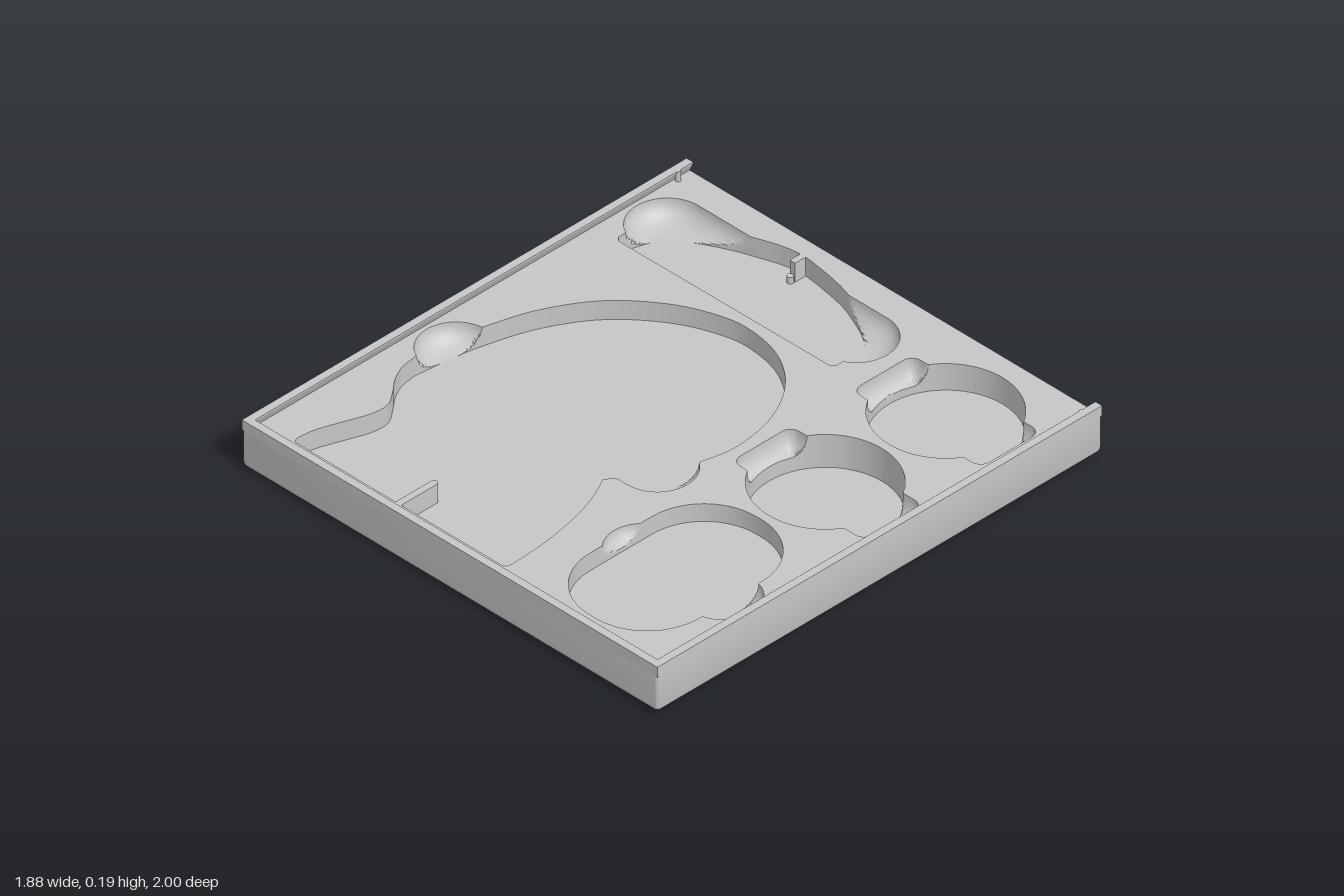
import * as THREE from 'three';
import { toCreasedNormals } from 'three/addons/utils/BufferGeometryUtils.js';

const TOP = 0.15, RIM = 0.19, HX = 0.94, HZ = 1;
const v2 = (x, z) => new THREE.Vector2(x, z);

// rounded rectangle on the ground plane, given by centre, half sizes and corner radius
function roundRect(cx, cz, hx, hz, r, n = 14) {
  const pts = [];
  [[1, 1], [-1, 1], [-1, -1], [1, -1]].forEach(([sx, sz], q) => {
    for (let i = 0; i <= n; i++) {
      const a = (q + i / n) * Math.PI / 2;
      pts.push(v2(cx + sx * (hx - r) + r * Math.cos(a), cz + sz * (hz - r) + r * Math.sin(a)));
    }
  });
  return pts;
}

const spline = (list, n = 60) => new THREE.SplineCurve(list.map(p => v2(...p))).getPoints(n);

// distance from c to the outline along angle a
function reach(poly, c, a) {
  const dx = Math.cos(a), dz = Math.sin(a);
  let best = 0;
  poly.forEach((p, i) => {
    const q = poly[(i + 1) % poly.length];
    const ex = q.x - p.x, ez = q.y - p.y, den = dx * ez - dz * ex;
    if (Math.abs(den) < 1e-12) return;
    const px = p.x - c.x, pz = p.y - c.y;
    const t = (px * ez - pz * ex) / den, u = (px * dz - pz * dx) / den;
    if (t > 0 && u >= -1e-6 && u <= 1 + 1e-6) best = Math.max(best, t);
  });
  return best;
}

// skin through closed rings of [x, y, z] points
function loft(rings, crease = 0.5) {
  const pos = [], n = rings[0].length;
  for (let k = 0; k + 1 < rings.length; k++) {
    const u = rings[k], l = rings[k + 1];
    for (let i = 0; i < n; i++) {
      const j = (i + 1) % n;
      pos.push(...u[i], ...l[i], ...u[j], ...u[j], ...l[i], ...l[j]);
    }
  }
  const g = new THREE.BufferGeometry();
  g.setAttribute('position', new THREE.Float32BufferAttribute(pos, 3));
  return toCreasedNormals(g, crease);
}

// pocket joined with a bowl-edged finger scoop; returns its walls, floor and top outline
function recess({ c, outline, scoop, fillet, floor, ledge }) {
  const centre = v2(...c), [sx, sz, hx, hz, r] = scoop;
  const inset = d => roundRect(sx, sz, hx - d, hz - d, Math.max(r - d, 0.004));
  const angles = [];
  for (let i = 0; i < 480; i++) angles.push(i / 480 * Math.PI * 2);
  for (const p of [...outline, ...inset(0)]) {
    const a = Math.atan2(p.y - centre.y, p.x - centre.x);
    angles.push(a < 0 ? a + Math.PI * 2 : a);
  }
  angles.sort((a, b) => a - b);
  const dirs = angles.filter((a, i) => i === 0 || a - angles[i - 1] > 1e-4);
  const base = dirs.map(a => reach(outline, centre, a));
  const ring = (y, radii) => dirs.map((a, i) =>
    [centre.x + Math.cos(a) * radii[i], y, centre.y + Math.sin(a) * radii[i]]);
  const rings = [];
  for (let k = 0; k <= 9; k++) {
    const a = k / 9 * Math.PI / 2, poly = inset(fillet * (1 - Math.cos(a)));
    const radii = dirs.map((d, i) => Math.max(base[i], reach(poly, centre, d)));
    rings.push(ring(TOP - (TOP - ledge) * Math.sin(a), radii));
  }
  const edge = rings[0].map(p => v2(p[0], -p[2]));
  const bottom = ring(floor, base);
  rings.push(ring(ledge, base), bottom);
  return { walls: loft(rings), base: loft([bottom, ring(floor, base.map(() => 0))]), edge };
}

export function createModel() {
  const group = new THREE.Group();
  const grey = new THREE.MeshStandardMaterial({ color: 0xc6c6c6 });
  grey.name = 'grey';
  const add = (name, geometry, x = 0, y = 0, z = 0) => {
    const m = new THREE.Mesh(geometry, grey);
    m.name = name;
    m.position.set(x, y, z);
    group.add(m);
    return m;
  };

  // outlines of the two freeform pockets
  const figure = [
    ...spline([[-0.83, 0.33], [-0.815, 0.2], [-0.79, 0.06], [-0.73, -0.13], [-0.62, -0.31], [-0.46, -0.445],
      [-0.3, -0.515], [-0.17, -0.53], [-0.02, -0.495], [0.11, -0.4], [0.2, -0.25], [0.235, -0.08],
      [0.22, 0.05], [0.16, 0.23], [0.06, 0.37]], 90),
    ...spline([[0.067, 0.385], [0.1, 0.45], [0.14, 0.57], [0.17, 0.74], [0.18, 0.9]], 24),
    v2(0.175, 0.918), v2(0.16, 0.925), v2(-0.77, 0.925), v2(-0.782, 0.918),
    ...spline([[-0.785, 0.905], [-0.775, 0.83], [-0.74, 0.73], [-0.71, 0.64], [-0.71, 0.57],
      [-0.75, 0.51], [-0.79, 0.46], [-0.82, 0.4], [-0.829, 0.34]], 40)];
  const dome = [
    ...spline([[-0.83, -0.64], [-0.79, -0.74], [-0.7, -0.81], [-0.59, -0.865], [-0.52, -0.89], [-0.43, -0.92],
      [-0.345, -0.932], [-0.24, -0.92], [-0.14, -0.9], [-0.07, -0.875], [0.04, -0.82], [0.11, -0.74], [0.15, -0.64]], 60),
    v2(0.15, -0.59), v2(0.135, -0.575), v2(-0.815, -0.57), v2(-0.83, -0.585)];

  // all recesses
  const recesses = {
    figurePocket: { c: [-0.3, 0.25], outline: figure, scoop: [-0.32, 0.2, 0.59, 0.135, 0.135], fillet: 0.1, floor: 0.075, ledge: 0.075 },
    domePocket: { c: [-0.34, -0.72], outline: dome, scoop: [-0.343, -0.745, 0.567, 0.14, 0.14], fillet: 0.1, floor: 0.075, ledge: 0.075 },
    backRoundPocket: { c: [0.57, -0.665], outline: roundRect(0.57, -0.665, 0.255, 0.255, 0.255), scoop: [0.572, -0.665, 0.291, 0.135, 0.04], fillet: 0.05, floor: 0.045, ledge: 0.075 },
    middleRoundPocket: { c: [0.57, -0.123], outline: roundRect(0.57, -0.123, 0.255, 0.255, 0.255), scoop: [0.58, -0.123, 0.3, 0.133, 0.04], fillet: 0.05, floor: 0.02, ledge: 0.075 },
    ovalPocket: { c: [0.56, 0.54], outline: roundRect(0.56, 0.54, 0.247, 0.375, 0.235), scoop: [0.593, 0.54, 0.312, 0.13, 0.13], fillet: 0.1, floor: 0.08, ledge: 0.08 },
  };
  const face = new THREE.Shape(roundRect(0, 0, HX, HZ, 0.012, 4).map(p => v2(p.x, -p.y)));
  for (const [name, spec] of Object.entries(recesses)) {
    const { walls, base, edge } = recess(spec);
    add(name + 'Walls', walls);
    add(name + 'Floor', base);
    face.holes.push(new THREE.Path(edge));
  }
  add('trayTop', new THREE.ShapeGeometry(face).rotateX(-Math.PI / 2), 0, TOP, 0);

  // outer shell with a rounded lower edge
  const level = (y, d) => roundRect(0, 0, HX - d, HZ - d, 0.012, 4).map(p => [p.x, y, p.y]);
  const shell = [];
  for (let k = 6; k >= 0; k--) {
    const a = k / 6 * Math.PI / 2;
    shell.push(level(0.03 * (1 - Math.sin(a)), 0.03 * (1 - Math.cos(a))));
  }
  shell.push(level(TOP, 0));
  add('trayShell', loft(shell));
  add('trayBottom', loft([shell[0].map(() => [0, 0, 0]), shell[0]]));

  // undercut lid rails on the sides and front, open at the back
  const rail = (length) => new THREE.ExtrudeGeometry(
    new THREE.Shape([v2(0, TOP), v2(0, RIM), v2(-0.03, RIM), v2(-0.03, RIM - 0.006), v2(-0.014, TOP)].reverse()),
    { depth: length, bevelEnabled: false }).translate(0, 0, -length / 2);
  add('leftRail', rail(2 * HZ), HX, 0, 0);
  add('rightRail', rail(2 * HZ), -HX, 0, 0).rotation.y = Math.PI;
  add('frontRail', rail(2 * HX), 0, 0, HZ).rotation.y = -Math.PI / 2;

  // lid catches near the open end
  for (const s of [-1, 1]) {
    add('lidCatch', new THREE.CylinderGeometry(0.01, 0.01, RIM - TOP, 16), s * 0.914, (RIM + TOP) / 2, -0.935);
  }

  // divider tabs, each with a round nose
  const tab = (name, x, z0, z1, w, floor, nose, noseTop) => {
    const h = TOP - floor, nh = noseTop - floor;
    add(name, new THREE.BoxGeometry(w, h, z1 - z0), x, floor + h / 2, (z0 + z1) / 2);
    add(name + 'Nose', new THREE.CylinderGeometry(w / 2, w / 2, nh, 16), x, floor + nh / 2, nose);
  };
  tab('figureDivider', -0.307, 0.765, 0.93, 0.026, 0.075, 0.765, TOP);
  tab('domeDivider', -0.345, -0.94, -0.885, 0.024, 0.075, -0.875, 0.1);
  return group;
}
